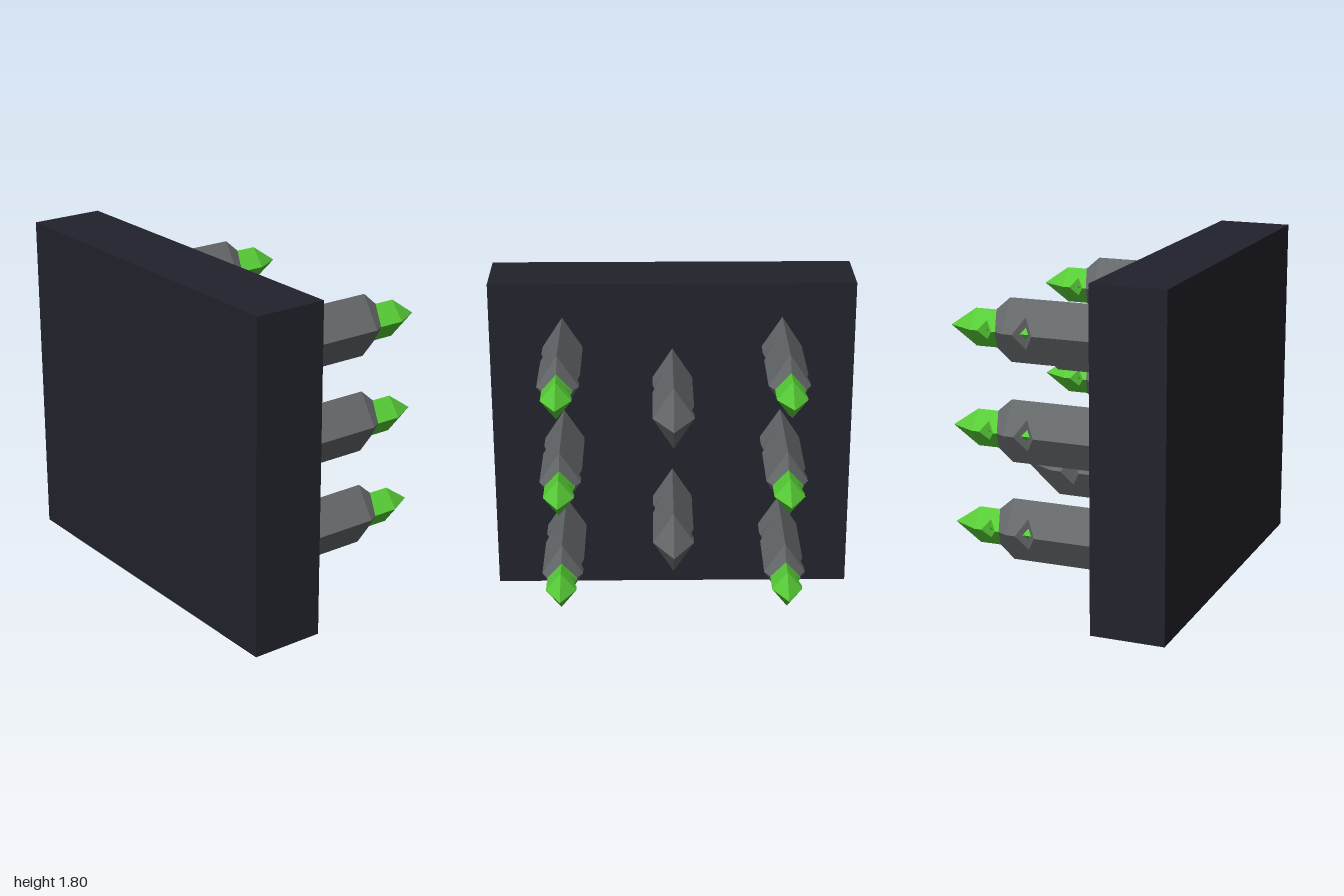
import * as THREE from 'three';

const HALF_W = 0.11, HALF_H = 0.17;

// Six-point diamond ring; a cut of 0..1 shaves the left (+x) or right (-x) corner
function ring(z, scale, cutLeft = 0, cutRight = 0) {
  const w = HALF_W * scale, h = HALF_H * scale;
  return [
    [0, h], [-w * (1 - cutRight), h * cutRight], [-w * (1 - cutRight), -h * cutRight],
    [0, -h], [w * (1 - cutLeft), -h * cutLeft], [w * (1 - cutLeft), h * cutLeft],
  ].map(([x, y]) => new THREE.Vector3(x, y, z));
}

// Notched spike lofted from its base at z = 0 to its tip along -z
function spikeGeometry() {
  const rings = [
    ring(0, 0), ring(0, 1),
    ring(-0.115, 1), ring(-0.17, 1, 0.5, 0), ring(-0.225, 1), // left notch
    ring(-0.435, 1), ring(-0.49, 1, 0, 0.5), ring(-0.545, 1), // right notch
    ring(-0.6, 1), ring(-0.795, 0),
  ];
  const points = [];
  const triangle = (a, b, c) => {
    const t = new THREE.Triangle(a, b, c);
    if (t.getArea() > 1e-7) points.push(a, b, c);
  };
  for (let i = 0; i < rings.length - 1; i++) {
    for (let j = 0; j < 6; j++) {
      const k = (j + 1) % 6;
      const a = rings[i][j], b = rings[i][k], c = rings[i + 1][k], d = rings[i + 1][j];
      triangle(a, d, b);
      triangle(b, d, c);
    }
  }
  const geometry = new THREE.BufferGeometry().setFromPoints(points);
  geometry.computeVertexNormals();
  return geometry;
}

export function createModel() {
  const model = new THREE.Group();
  model.name = 'spikedBoard';

  const material = (name, color) => {
    const m = new THREE.MeshStandardMaterial({ color });
    m.name = name;
    return m;
  };
  const boardColor = material('darkSlate', 0x22222c);
  const spikeColor = material('grey', 0x66696b);
  const tipColor = material('green', 0x58ce37);

  // Backing board
  const board = new THREE.Mesh(new THREE.BoxGeometry(2, 1.8, 0.4), boardColor);
  board.name = 'board';
  board.position.set(0, 0.9, 0.47);
  model.add(board);

  const geometry = spikeGeometry();
  function addSpike(x, y, hasTip) {
    const group = new THREE.Group();
    group.name = hasTip ? 'tippedSpike' : 'plainSpike';
    group.position.set(x, y, 0);
    const body = new THREE.Mesh(geometry, spikeColor);
    body.name = 'spikeBody';
    body.position.z = 0.27;
    group.add(body);
    if (hasTip) {
      // Smaller spike pushed through the end of the body
      const tip = new THREE.Mesh(geometry, tipColor);
      tip.name = 'spikeTip';
      tip.scale.set(0.73, 0.59, 0.74);
      tip.position.z = -0.082;
      group.add(tip);
    }
    model.add(group);
  }

  // Outer columns carry green tips, the middle column is plain
  for (const x of [-0.6, 0.6]) for (const y of [0.36, 0.9, 1.44]) addSpike(x, y, true);
  for (const y of [0.54, 1.26]) addSpike(0, y, false);

  return model;
}
